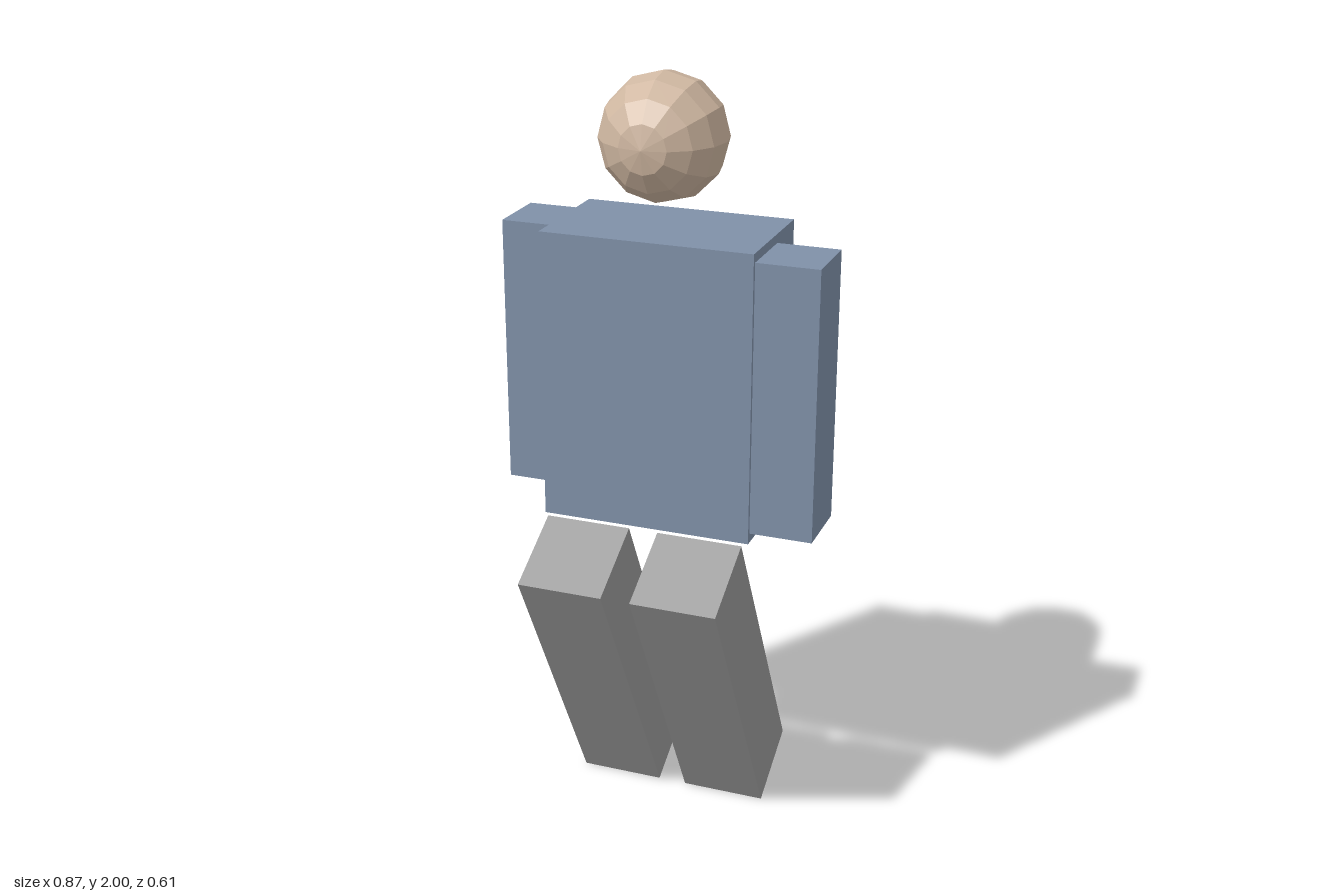
import * as THREE from 'three';

export function createModel() {
  const model = new THREE.Group();
  model.name = 'blockFigure';

  const flatMaterial = (name, color) => {
    const m = new THREE.MeshStandardMaterial({ color, flatShading: true });
    m.name = name;
    return m;
  };
  const skin = flatMaterial('skin', 0xcfb7a1);
  const shirt = flatMaterial('blueShirt', 0x7f90a8);
  const trousers = flatMaterial('greyTrousers', 0x999999);

  const add = (name, geometry, material, x, y, z) => {
    const mesh = new THREE.Mesh(geometry, material);
    mesh.name = name;
    mesh.position.set(x, y, z);
    model.add(mesh);
    return mesh;
  };

  // Faceted head with its poles at the front and back
  const headGeometry = new THREE.SphereGeometry(0.159, 12, 8).rotateX(Math.PI / 2);
  add('head', headGeometry, skin, 0, 1.841, -0.039);

  // Torso
  add('torso', new THREE.BoxGeometry(0.546, 0.744, 0.32), shirt, 0, 1.245, -0.063);

  // Arms, the left one set further forward
  const armGeometry = new THREE.BoxGeometry(0.16, 0.696, 0.174);
  add('leftArm', armGeometry, shirt, 0.353, 1.246, 0);
  add('rightArm', armGeometry, shirt, -0.353, 1.246, -0.126);

  // Legs, both sloping back from hip to foot
  const legGeometry = new THREE.BoxGeometry(0.222, 0.868, 0.222);
  for (const [name, side] of [['leftLeg', 1], ['rightLeg', -1]]) {
    add(name, legGeometry, trousers, side * 0.149, 0.437, 0).rotation.x = 0.498;
  }

  return model;
}
